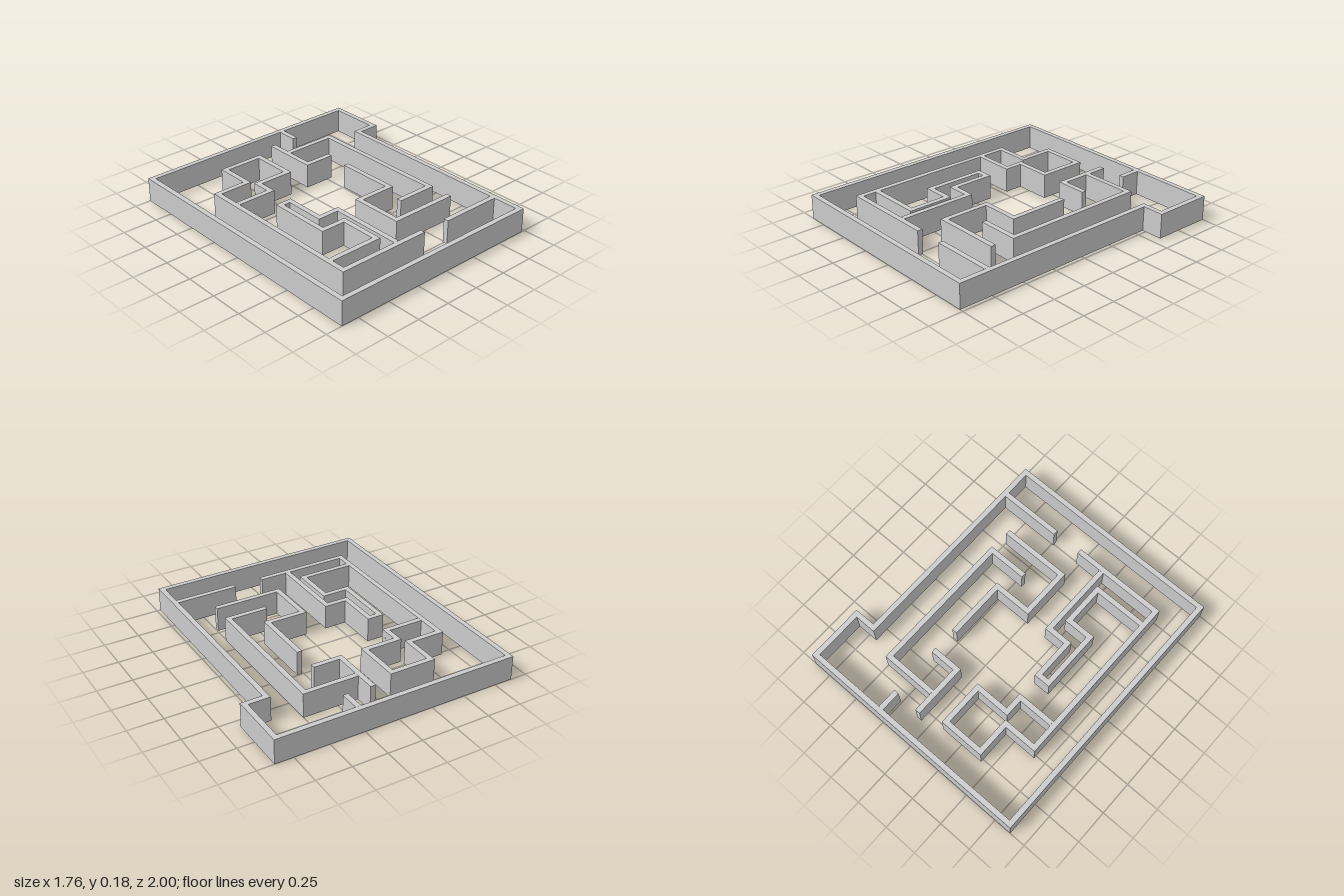
import * as THREE from 'three';

const HEIGHT = 0.177;
const HALF = 0.0187; // half the wall thickness

// Shifts a right-angled path sideways, with mitred corners.
function offsetPath(path, closed, dist) {
  const n = path.length;
  const normal = (a, b) => {
    const d = b.clone().sub(a).normalize();
    return new THREE.Vector2(-d.y, d.x);
  };
  return path.map((p, i) => {
    const shift = new THREE.Vector2();
    if (closed || i > 0) shift.add(normal(path[(i + n - 1) % n], p));
    if (closed || i < n - 1) shift.add(normal(p, path[(i + 1) % n]));
    return p.clone().addScaledVector(shift, dist);
  });
}

// Stands a wall on the ground along a centre line of [x, z] points.
function wall(name, points, closed = false) {
  const path = points.map(([x, z]) => new THREE.Vector2(x, z));
  const sideA = offsetPath(path, closed, -HALF);
  const sideB = offsetPath(path, closed, HALF);
  const shape = new THREE.Shape(closed ? sideA : [...sideA, ...sideB.reverse()]);
  if (closed) shape.holes.push(new THREE.Path(sideB));
  const geometry = new THREE.ExtrudeGeometry(shape, { depth: HEIGHT, bevelEnabled: false });
  geometry.rotateX(Math.PI / 2).translate(0, HEIGHT, 0);
  const mesh = new THREE.Mesh(geometry, new THREE.MeshStandardMaterial({ color: 0xcccccc, flatShading: true }));
  mesh.name = name;
  return mesh;
}

export function createModel() {
  const maze = new THREE.Group();
  maze.name = 'maze';

  // Perimeter with the alcove at the back left
  maze.add(wall('outerWall', [
    [-0.862, -0.981], [0.862, -0.981], [0.862, -0.588],
    [0.706, -0.588], [0.706, 0.981], [-0.862, 0.981],
  ], true));

  // Short walls joined to the perimeter
  maze.add(wall('backStub', [[0.28, -0.962], [0.28, -0.815]]));
  maze.add(wall('frontStub', [[0.238, 0.76], [0.687, 0.76]]));

  // Walls on the +x side
  maze.add(wall('hookWall', [[0.083, -0.823], [0.083, -0.437], [0.293, -0.437]]));
  maze.add(wall('longHookBranch', [[0.102, -0.664], [0.484, -0.664], [0.484, 0.37], [0.196, 0.37]]));
  maze.add(wall('steppedWall', [
    [0.278, -0.246], [0.278, 0.19], [0.003, 0.19], [0.003, 0.545], [0.492, 0.545],
  ]));

  // Walls on the -x side
  maze.add(wall('innerWall', [
    [-0.36, -0.304], [-0.36, -0.437], [-0.104, -0.437], [-0.104, -0.751], [-0.406, -0.751],
    [-0.406, -0.502], [-0.653, -0.502], [-0.653, 0.76], [0.024, 0.76],
  ]));
  maze.add(wall('innerWallReturn', [[-0.634, -0.304], [-0.341, -0.304]]));
  maze.add(wall('windingWall', [
    [-0.634, 0.624], [-0.254, 0.624], [-0.254, 0.323], [-0.436, 0.323], [-0.436, -0.106],
    [-0.35, -0.106], [-0.35, 0.19], [-0.19, 0.19], [-0.19, 0.741],
  ]));

  return maze;
}
